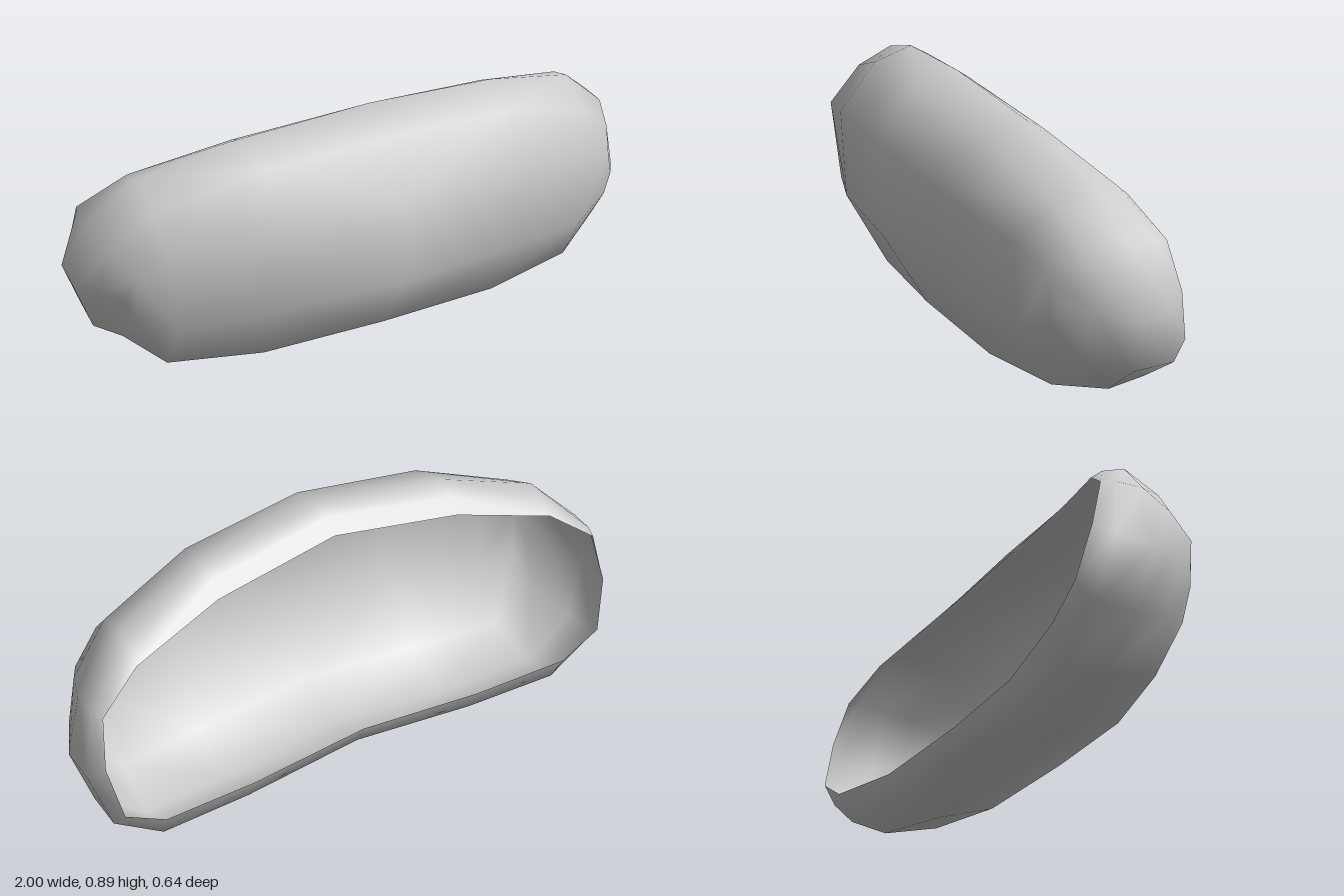
import * as THREE from 'three';

// Half rings [x, y, z], running from top centre round the left side to bottom centre.
const RINGS = [
  // open back rim
  [[0, .82, -.06], [.45, .765, -.10], [.78, .69, -.18], [.93, .585, -.235], [.955, .42, -.28],
    [.92, .24, -.32], [.78, .16, -.32], [.44, .125, -.28], [0, .14, -.25]],
  // lip just ahead of the rim
  [[0, .862, -.01], [.45, .815, -.06], [.78, .725, -.14], [.945, .59, -.19], [1, .375, -.23],
    [.94, .18, -.27], [.77, .06, -.27], [.44, .04, -.24], [0, .06, -.21]],
  // widest outline
  [[0, .89, .03], [.45, .85, 0], [.78, .755, -.06], [.95, .59, -.10], [1, .37, -.10],
    [.94, .175, -.13], [.77, .04, -.14], [.44, 0, -.09], [0, .03, -.05]],
  // rounded shoulder
  [[0, .85, .18], [.44, .81, .14], [.77, .70, .07], [.91, .56, .02], [.945, .40, .01],
    [.885, .22, .02], [.75, .085, .05], [.43, .065, .11], [0, .08, .14]],
  // edge of the front face
  [[0, .68, .32], [.43, .65, .275], [.75, .58, .19], [.86, .51, .125], [.89, .42, .10],
    [.86, .35, .115], [.74, .29, .16], [.43, .34, .26], [0, .35, .30]],
];
const N = 16;

function shellGeometry() {
  const positions = [], index = [];
  for (const half of RINGS) {
    for (let i = 0; i < N; i++) {
      const [x, y, z] = half[i <= 8 ? i : N - i];
      positions.push(i <= 8 ? x : -x, y, z);
    }
  }
  // Mirror the diagonal on the right half so both halves match
  const quad = (a, b, c, d, flip) => {
    if (flip) index.push(a, c, d, a, d, b);
    else index.push(a, c, b, b, c, d);
  };
  for (let r = 0; r < RINGS.length - 1; r++) {
    for (let i = 0; i < N; i++) {
      const j = (i + 1) % N, o = r * N, n = o + N;
      quad(o + i, o + j, n + i, n + j, i >= 8);
    }
  }
  // Front face, joining the top and bottom of the last ring
  const at = (k) => (RINGS.length - 1) * N + ((k + N) % N);
  for (let k = -3; k < 3; k++) quad(at(k), at(k + 1), at(8 - k), at(7 - k), k < 0);
  index.push(at(3), at(5), at(4), at(-3), at(-4), at(-5));

  const geometry = new THREE.BufferGeometry();
  geometry.setAttribute('position', new THREE.Float32BufferAttribute(positions, 3));
  geometry.setIndex(index);
  geometry.computeVertexNormals();
  return geometry;
}

export function createModel() {
  const group = new THREE.Group();
  group.name = 'curvedShell';
  const grey = new THREE.MeshStandardMaterial({ color: 0xcccccc, side: THREE.DoubleSide });
  grey.name = 'light grey';
  const shell = new THREE.Mesh(shellGeometry(), grey);
  shell.name = 'shell';
  group.add(shell);
  return group;
}
